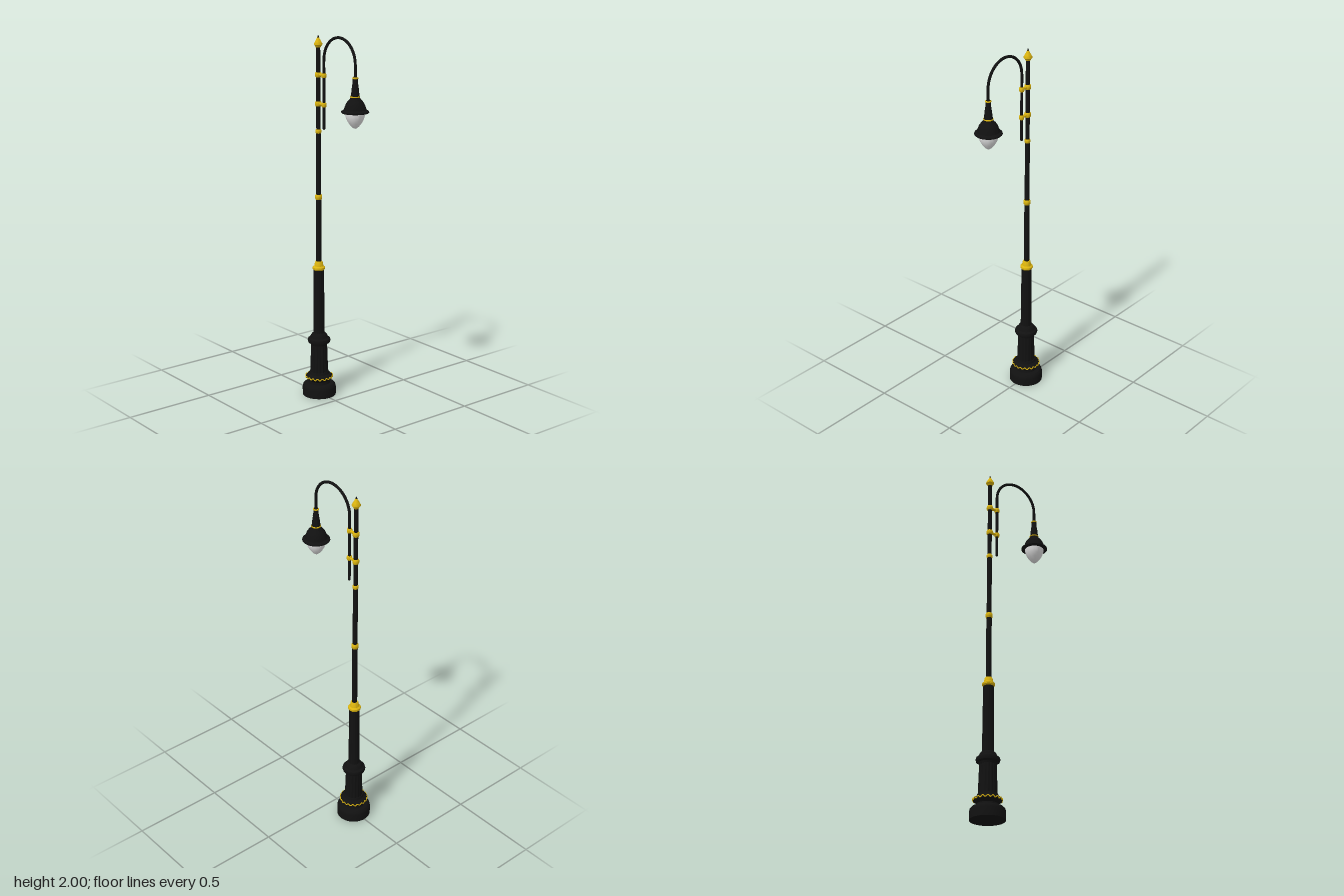
import * as THREE from 'three';
import { toCreasedNormals } from 'three/addons/utils/BufferGeometryUtils.js';

const POLE_X = -0.143, ARM_X = -0.095, LAMP_X = 0.162;

export function createModel() {
  const model = new THREE.Group();
  model.name = 'streetLamp';
  const material = (name, color) => {
    const m = new THREE.MeshStandardMaterial({ color });
    m.name = name;
    return m;
  };
  const black = material('blackIron', 0x111111);
  const gold = material('goldTrim', 0xdbb40f);
  const glass = material('frostedGlass', 0xe4e4e4);

  const add = (name, geometry, mat, x = 0, y = 0) => {
    const mesh = new THREE.Mesh(geometry, mat);
    mesh.name = name;
    mesh.position.set(x, y, 0);
    model.add(mesh);
    return mesh;
  };
  // Turned part: profile of [radius, y] pairs from bottom to top
  const turned = (name, profile, mat, x, segments = 40) => {
    const points = profile.map(([r, y]) => new THREE.Vector2(r, y));
    return add(name, toCreasedNormals(new THREE.LatheGeometry(points, segments), 0.6), mat, x);
  };
  // Rounded band around a post, centred at height y
  const band = (name, x, y, r, h) => turned(name, [
    [0, y - h / 2], [r * 0.82, y - h / 2], [r, y - h * 0.28],
    [r, y + h * 0.28], [r * 0.82, y + h / 2], [0, y + h / 2],
  ], gold, x, 24);

  // Pedestal
  turned('base', [
    [0, 0], [0.092, 0], [0.092, 0.045], [0.089, 0.057], [0.08, 0.066],
    [0.06, 0.068], [0.056, 0.085], [0.0, 0.086],
  ], black, POLE_X, 48);
  turned('lowerMoulding', [
    [0, 0.08], [0.056, 0.082], [0.064, 0.092], [0.073, 0.1], [0.074, 0.108],
    [0.066, 0.116], [0.056, 0.122], [0.052, 0.135], [0, 0.135],
  ], black, POLE_X, 48);

  // Wavy gold trim around the lower moulding
  const wave = [];
  for (let i = 0; i < 144; i++) {
    const a = i / 144 * Math.PI * 2;
    wave.push(new THREE.Vector3(0.0745 * Math.cos(a), 0.105 + 0.005 * Math.sin(18 * a), 0.0745 * Math.sin(a)));
  }
  add('wavyTrim', new THREE.TubeGeometry(new THREE.CatmullRomCurve3(wave, true), 288, 0.0028, 6, true), gold, POLE_X);

  // Fluted shafts, made by rippling the radius of a cylinder
  const fluted = (name, rTop, rBottom, y0, y1, depth) => {
    const g = new THREE.CylinderGeometry(rTop, rBottom, y1 - y0, 96, 1, true);
    const p = g.attributes.position;
    for (let i = 0; i < p.count; i++) {
      const a = Math.atan2(p.getZ(i), p.getX(i));
      const k = 1 - depth * (0.5 + 0.5 * Math.cos(16 * a));
      p.setXYZ(i, p.getX(i) * k, p.getY(i), p.getZ(i) * k);
    }
    add(name, toCreasedNormals(g, 0.7), black, POLE_X, (y0 + y1) / 2);
  };
  fluted('lowerColumn', 0.044, 0.05, 0.125, 0.3, 0.08);
  turned('upperMoulding', [
    [0, 0.29], [0.045, 0.29], [0.048, 0.3], [0.06, 0.305], [0.063, 0.315],
    [0.06, 0.326], [0.049, 0.333], [0.044, 0.345], [0.038, 0.354], [0.029, 0.36], [0, 0.36],
  ], black, POLE_X, 48);
  fluted('middleColumn', 0.028, 0.031, 0.35, 0.725, 0.06);

  // Gold collar and slender pole
  turned('collar', [
    [0, 0.718], [0.029, 0.718], [0.034, 0.725], [0.034, 0.734], [0.025, 0.741],
    [0.021, 0.762], [0.018, 0.768], [0, 0.768],
  ], gold, POLE_X);
  turned('pole', [
    [0.0145, 0.76], [0.0145, 1.125], [0.013, 1.13], [0.013, 1.48], [0.0115, 1.49],
    [0.011, 1.94], [0, 1.94],
  ], black, POLE_X, 24);
  band('lowerPoleBand', POLE_X, 1.125, 0.019, 0.028);
  band('upperPoleBand', POLE_X, 1.482, 0.0155, 0.022);

  // Finial
  turned('finial', [
    [0, 1.927], [0.013, 1.927], [0.016, 1.934], [0.022, 1.941], [0.022, 1.947],
    [0.016, 1.958], [0.009, 1.97], [0.005, 1.979], [0, 1.979],
  ], gold, POLE_X, 28);
  turned('finialTip', [[0, 1.975], [0.0055, 1.977], [0.003, 1.986], [0, 1.992]], black, POLE_X, 16);

  // Curved arm: straight riser, half-circle arch, short drop
  const archR = (LAMP_X - ARM_X) / 2, archX = (LAMP_X + ARM_X) / 2, archY = 1.864;
  const path = [[ARM_X, 1.505], [ARM_X, 1.6], [ARM_X, 1.7], [ARM_X, 1.79]];
  for (let i = 0; i <= 16; i++) {
    const a = Math.PI * (1 - i / 16);
    path.push([archX + archR * Math.cos(a), archY + archR * Math.sin(a)]);
  }
  path.push([LAMP_X, 1.79]);
  const curve = new THREE.CatmullRomCurve3(path.map(([x, y]) => new THREE.Vector3(x, y, 0)));
  add('arm', new THREE.TubeGeometry(curve, 120, 0.0075, 14), black);
  add('armEnd', new THREE.SphereGeometry(0.0075, 14, 10), black, ARM_X, 1.505);

  // Brackets joining arm to pole
  for (const y of [1.63, 1.784]) {
    band('bracketPoleBand', POLE_X, y, 0.0175, 0.026);
    band('bracketArmBand', ARM_X, y, 0.0135, 0.024);
    const bar = add('bracketBar', new THREE.CylinderGeometry(0.0075, 0.0075, ARM_X - POLE_X, 14), gold, (ARM_X + POLE_X) / 2, y);
    bar.rotation.z = Math.PI / 2;
  }

  // Lantern
  turned('lampNeck', [
    [0, 1.7], [0.025, 1.7], [0.021, 1.72], [0.018, 1.75], [0.0165, 1.755], [0.0165, 1.764],
    [0.014, 1.77], [0.013, 1.8], [0.009, 1.808], [0, 1.808],
  ], black, LAMP_X, 32);
  band('neckTopRing', LAMP_X, 1.8, 0.0155, 0.008);
  band('neckBaseRing', LAMP_X, 1.705, 0.0255, 0.009);
  turned('lampShade', [
    [0, 1.622], [0.068, 1.622], [0.072, 1.626], [0.071, 1.631], [0.058, 1.639], [0.054, 1.652],
    [0.048, 1.668], [0.039, 1.682], [0.029, 1.692], [0.024, 1.702], [0, 1.702],
  ], black, LAMP_X, 48);
  turned('globe', [
    [0, 1.54], [0.009, 1.543], [0.021, 1.553], [0.034, 1.57], [0.044, 1.588],
    [0.05, 1.606], [0.052, 1.624], [0, 1.625],
  ], glass, LAMP_X, 40);

  return model;
}
